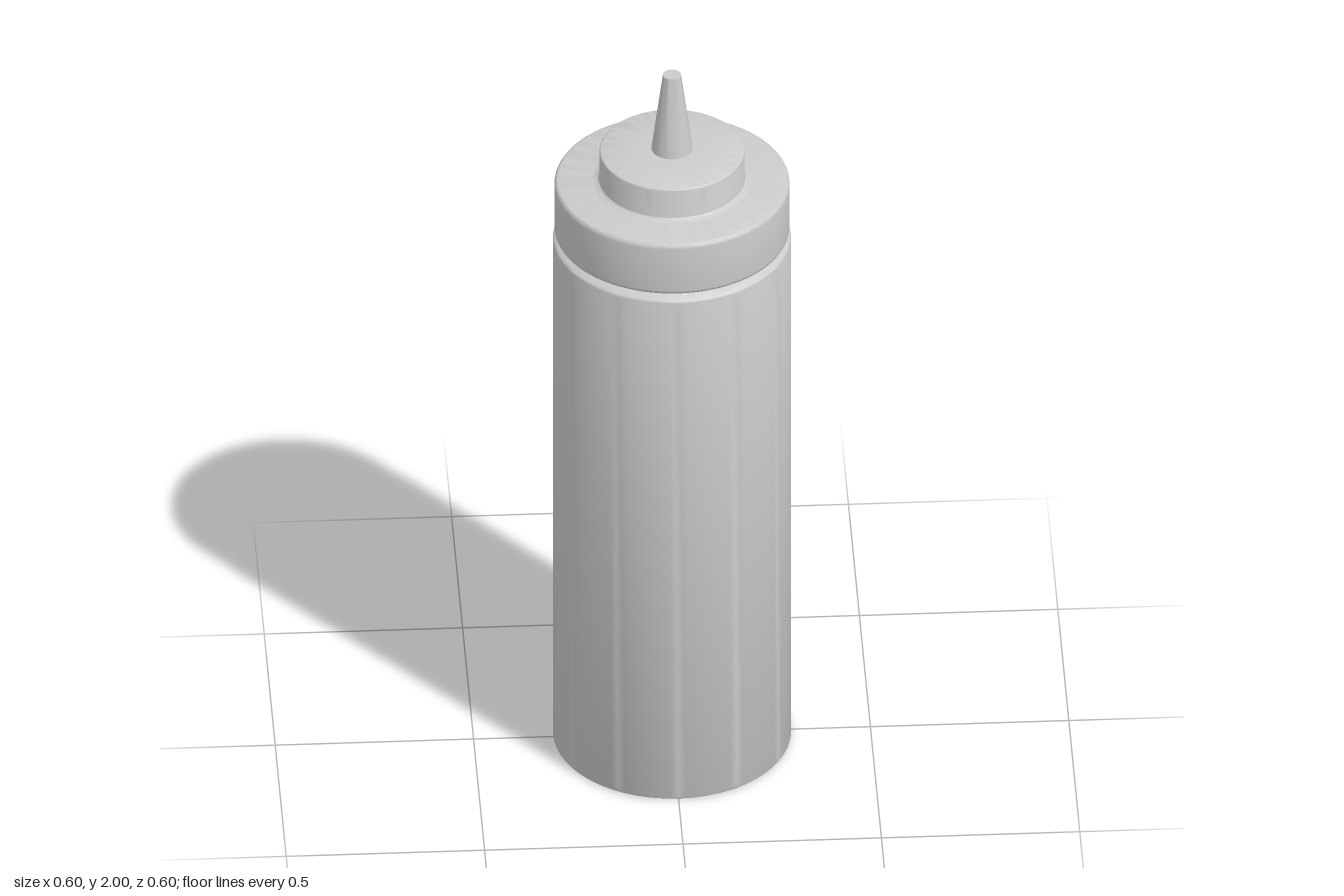
import * as THREE from 'three';
import { toCreasedNormals } from 'three/addons/utils/BufferGeometryUtils.js';

const material = new THREE.MeshStandardMaterial({ color: 0xcccccc });

// Revolve a [radius, height] profile, listed bottom to top.
// A third value rounds that corner by the given radius.
function turned(name, profile, segments = 96) {
  const points = [];
  profile.forEach(([r, y, round], i) => {
    const corner = new THREE.Vector2(r, y);
    if (!round) return points.push(corner);
    const toward = ([a, b]) =>
      new THREE.Vector2(a, b).sub(corner).setLength(round).add(corner);
    const curve = new THREE.QuadraticBezierCurve(
      toward(profile[i - 1]), corner, toward(profile[i + 1]));
    points.push(...curve.getPoints(4));
  });
  const geometry = toCreasedNormals(new THREE.LatheGeometry(points, segments), 0.6);
  const mesh = new THREE.Mesh(geometry, material);
  mesh.name = name;
  return mesh;
}

export function createModel() {
  const group = new THREE.Group();
  group.name = 'squeezeBottle';

  // Straight body with a short shoulder and a neck hidden inside the cap
  group.add(turned('body', [
    [0, 0], [0.3, 0, 0.008], [0.3, 1.512, 0.01],
    [0.262, 1.527], [0.262, 1.56], [0, 1.56],
  ]));

  // Wide screw cap
  group.add(turned('cap', [
    [0, 1.53], [0.296, 1.53, 0.012], [0.296, 1.682, 0.014], [0, 1.682],
  ]));

  // Raised tier with a small fillet at its foot and a barely domed top
  group.add(turned('capTier', [
    [0.2, 1.682], [0.183, 1.686, 0.008], [0.183, 1.773, 0.008],
    [0.09, 1.777], [0, 1.778],
  ]));

  // Tapered nozzle
  group.add(turned('nozzle', [
    [0.053, 1.77], [0.023, 2], [0, 2],
  ], 64));

  return group;
}
